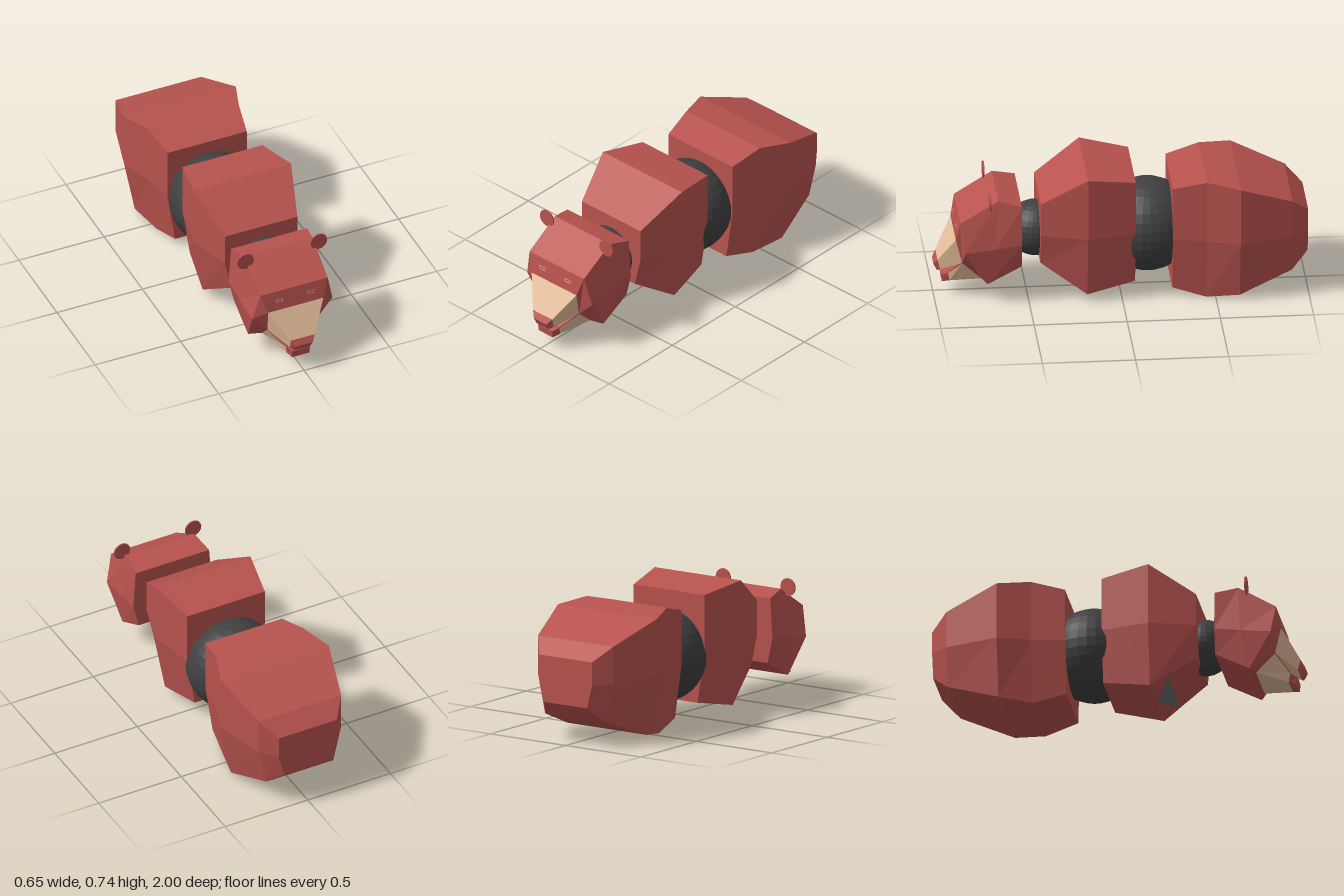
import * as THREE from 'three';

const mat = (name, color, side = THREE.FrontSide) => {
  const m = new THREE.MeshStandardMaterial({ color, side });
  m.name = name;
  return m;
};

// Loft through mirrored half outlines ([x, y, z], top to bottom), ordered back to front
function loft(sections) {
  const rings = sections.map(s => [...s, ...s.slice().reverse().map(([x, y, z]) => [-x, y, z])]);
  const n = rings[0].length, pos = [];
  const tri = (a, b, c) => pos.push(...a, ...b, ...c);
  for (let i = 0; i < rings.length - 1; i++) {
    const A = rings[i], B = rings[i + 1];
    for (let k = 0; k < n; k++) {
      const j = (k + 1) % n;
      tri(A[k], B[k], B[j]);
      tri(A[k], B[j], A[j]);
    }
  }
  const back = rings[0], front = rings[rings.length - 1];
  for (let k = 1; k < n - 1; k++) {
    tri(back[0], back[k], back[k + 1]);
    tri(front[0], front[k + 1], front[k]);
  }
  const g = new THREE.BufferGeometry();
  g.setAttribute('position', new THREE.Float32BufferAttribute(pos, 3));
  g.computeVertexNormals();
  return g;
}

// Body section: straight upper sides, lower sides tapering in
const bodySection = mid => ([z, x, top, bottom]) =>
  [[x, top, z], [x, mid, z], [x * 0.81, bottom, z]];

export function createModel() {
  const red = mat('red', 0xb8534e);
  const tan = mat('tan', 0xe4be9b);
  const black = mat('black', 0x404040);
  const grey = mat('grey', 0x6a7072, THREE.DoubleSide);
  const pale = mat('pale', 0xd8cfc4, THREE.DoubleSide);

  const model = new THREE.Group();
  model.name = 'bear';
  const add = (name, geometry, material, x = 0, y = 0, z = 0) => {
    const m = new THREE.Mesh(geometry, material);
    m.name = name;
    m.position.set(x, y, z);
    model.add(m);
    return m;
  };

  // Rear and front body blocks
  add('hindBody', loft([
    [-1.0, 0.175, 0.475, 0.22],
    [-0.91, 0.25, 0.555, 0.135],
    [-0.625, 0.327, 0.667, 0.027],
    [-0.45, 0.265, 0.69, 0.0],
    [-0.27, 0.232, 0.645, 0.05],
  ].map(bodySection(0.347))), red);
  add('foreBody', loft([
    [-0.07, 0.235, 0.692, 0.098],
    [0.19, 0.286, 0.735, 0.047],
    [0.437, 0.212, 0.573, 0.215],
  ].map(bodySection(0.39))), red);

  // Ball joints
  const ball = r => {
    const g = new THREE.SphereGeometry(r, 32, 16).toNonIndexed();
    g.computeVertexNormals();
    return g;
  };
  add('waistJoint', ball(0.255), black, 0, 0.35, -0.15);
  add('neckJoint', ball(0.152), black, 0, 0.35, 0.45);

  // Head, ending in the flat brow and the ring the jaws start from
  const jawRoot = [[0.162, 0.362, 0.89], [0.15, 0.22, 0.855], [0.135, 0.12, 0.75]];
  add('head', loft([
    [[0.222, 0.567, 0.54], [0.237, 0.35, 0.54], [0.205, 0.213, 0.54]],
    [[0.2, 0.597, 0.665], [0.237, 0.33, 0.68], [0.205, 0.12, 0.715]],
    [[0.197, 0.472, 0.868], [0.235, 0.31, 0.845], [0.205, 0.117, 0.725]],
    jawRoot,
  ]), red);

  // Upper muzzle and nose
  const noseRoot = [[0.07, 0.208, 0.98], [0.067, 0.152, 0.965]];
  add('muzzle', loft([jawRoot.slice(0, 2), noseRoot]), tan);
  add('nose', loft([noseRoot, [[0.045, 0.175, 1.0], [0.045, 0.136, 0.98]]]), red);

  // Lower jaw, its lip and chin
  const chinRoot = [[0.072, 0.13, 0.925], [0.066, 0.084, 0.915]];
  add('lowerJaw', loft([jawRoot.slice(1), chinRoot]), tan);
  add('chin', loft([chinRoot, [[0.052, 0.116, 0.96], [0.05, 0.073, 0.955]]]), red);
  add('lip', loft([
    [[0.15, 0.224, 0.858], [0.15, 0.218, 0.855]],
    [[0.073, 0.135, 0.926], [0.073, 0.129, 0.925]],
  ]), red);

  // Eye outline, laid on the sloping brow
  const eye = new THREE.Shape([[-0.022, 0.009], [0.022, 0.009], [0.016, -0.009], [-0.022, -0.009]]
    .map(p => new THREE.Vector2(...p)));
  eye.holes.push(new THREE.Path([[-0.019, 0.006], [-0.019, -0.006], [0.014, -0.006], [0.018, 0.006]]
    .map(p => new THREE.Vector2(...p))));
  const eyeGeo = new THREE.ShapeGeometry(eye);
  const earGeo = new THREE.CylinderGeometry(0.048, 0.048, 0.008, 32).rotateX(Math.PI / 2);
  for (const [side, s] of [['left', 1], ['right', -1]]) {
    const e = add(side + 'Eye', eyeGeo, pale, s * 0.093, 0.419, 0.8815);
    e.rotation.x = -0.183;
    e.scale.x = s;
    add(side + 'Ear', earGeo, red, s * 0.215, 0.6, 0.71);
  }

  // Thin chest plate under the fore body's front slope
  const chest = new THREE.BufferGeometry();
  chest.setAttribute('position', new THREE.Float32BufferAttribute(
    [-0.2, 0.105, 0.282, 0, 0.047, 0.196, 0.2, 0.105, 0.282], 3));
  chest.computeVertexNormals();
  add('chestPlate', chest, grey);

  return model;
}
